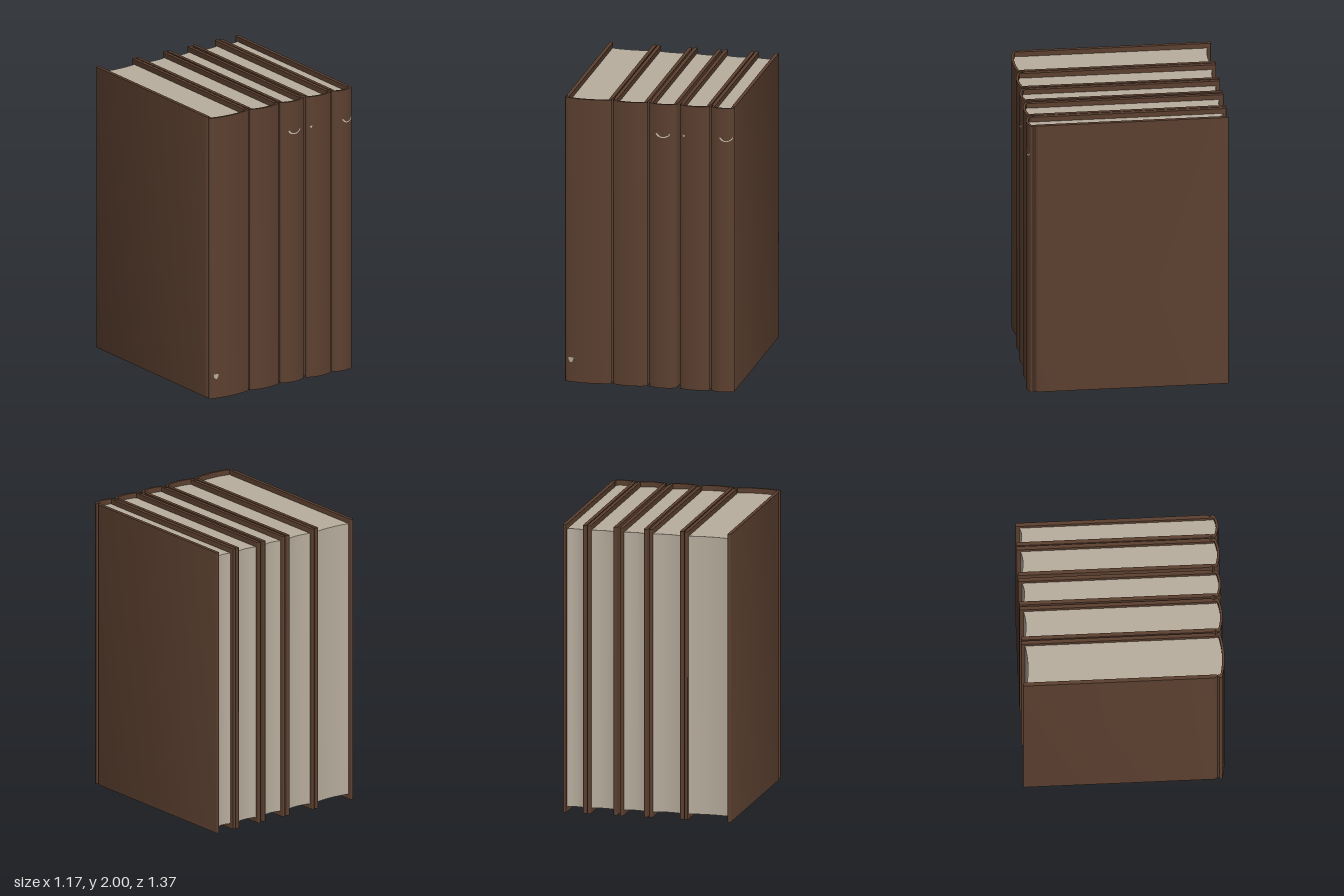
import * as THREE from 'three';
import { toCreasedNormals } from 'three/addons/utils/BufferGeometryUtils.js';

const HEIGHT = 2, BOARD = 0.025, INSET = 0.035;
const BACK = -0.686, FRONT = 0.684, BULGE = 0.022;

// Rounded spine: z of the outer face at x, for a book of half width h
const spineZ = (x, h) => FRONT - BULGE * (x / (h - 0.006)) ** 2;

// Extrudes a plan outline given as [x, z] points upwards from y0 to y1
function extrudePlan(points, y0, y1) {
  const shape = new THREE.Shape(points.map(([x, z]) => new THREE.Vector2(x, -z)));
  const geo = new THREE.ExtrudeGeometry(shape, { depth: y1 - y0, bevelEnabled: false });
  geo.rotateX(-Math.PI / 2).translate(0, y0, 0);
  return toCreasedNormals(geo, 0.7);
}

const mirror = (points) => points.map(([x, z]) => [-x, z]).reverse();

// Samples a curve z = f(x) from x = a to x = b
function sample(a, b, n, f) {
  return Array.from({ length: n + 1 }, (_, i) => {
    const x = a + ((b - a) * i) / n;
    return [x, f(x)];
  });
}

// Case in one piece: two boards with rounded edges, hinge grooves and the spine
function coverGeometry(h) {
  const r = BOARD / 2;
  const edge = Array.from({ length: 9 }, (_, i) => {
    const a = (Math.PI * i) / 8;
    return [h - r - r * Math.cos(a), BACK + r - r * Math.sin(a)];
  });
  const outerHinge = [[h, 0.607], [h - 0.003, 0.618], [h - 0.01, 0.625], [h - 0.012, 0.631],
    [h - 0.008, 0.638], [h - 0.001, 0.644], [h, 0.652], [h - 0.003, 0.659]];
  const innerHinge = [[h - 0.022, 0.652], [h - 0.024, 0.64], [h - 0.022, 0.63], [h - BOARD, 0.615]];
  const outerSpine = sample(h - 0.006, -(h - 0.006), 16, (x) => spineZ(x, h));
  const innerSpine = sample(-(h - 0.026), h - 0.026, 16, (x) => spineZ(x, h) - 0.017);
  const side = [...edge, ...outerHinge];
  return extrudePlan([
    ...side, ...outerSpine, ...mirror(side),
    ...mirror(innerHinge), ...innerSpine, ...innerHinge,
  ], 0, HEIGHT);
}

// Page block: hollow fore-edge at the back, rounded against the spine
function pagesGeometry(h) {
  const w = h - BOARD + 0.002;
  const fore = sample(-w, w, 16, (x) => -0.646 - 0.014 * (x / w) ** 2);
  const round = sample(w, -w, 16, (x) => spineZ(x, h) - 0.0165);
  return extrudePlan([...fore, ...round], INSET, HEIGHT - INSET);
}

// Thin worn patch with a flat top, bent onto the spine
function patchGeometry(x, y, w, ht, h) {
  const shape = new THREE.Shape();
  shape.moveTo(x - w / 2, y + ht / 2);
  for (let i = 0; i <= 12; i++) {
    const a = Math.PI + (Math.PI * i) / 12;
    shape.lineTo(x + (w / 2) * Math.cos(a), y + ht / 2 + ht * Math.sin(a));
  }
  const geo = new THREE.ShapeGeometry(shape);
  const p = geo.attributes.position;
  for (let i = 0; i < p.count; i++) p.setZ(i, spineZ(p.getX(i), h) + 0.002);
  geo.computeVertexNormals();
  return geo;
}

export function createModel() {
  const leather = new THREE.MeshStandardMaterial({ color: 0x5c4030 });
  leather.name = 'brown leather';
  const paper = new THREE.MeshStandardMaterial({ color: 0xb9ae9f });
  paper.name = 'aged paper';

  // Left and right edge of each book, and worn patches [x, y, width, height]
  const books = [
    { x0: -0.587, x1: -0.262, patches: [[-0.543, 0.155, 0.036, 0.034]] },
    { x0: -0.255, x1: -0.014, patches: [] },
    { x0: -0.003, x1: 0.19, patches: [[0.097, 1.78, 0.1, 0.03]] },
    { x0: 0.209, x1: 0.418, patches: [[0.24, 1.785, 0.016, 0.016]] },
    { x0: 0.424, x1: 0.587, patches: [[0.535, 1.78, 0.09, 0.03]] },
  ];

  const model = new THREE.Group();
  model.name = 'bookRow';
  books.forEach(({ x0, x1, patches }, i) => {
    const h = (x1 - x0) / 2, cx = (x0 + x1) / 2;
    const book = new THREE.Group();
    book.name = `book${i + 1}`;
    book.position.x = cx;
    const add = (name, geo, mat) => {
      const mesh = new THREE.Mesh(geo, mat);
      mesh.name = name;
      book.add(mesh);
    };
    add('cover', coverGeometry(h), leather);
    add('pages', pagesGeometry(h), paper);
    patches.forEach(([x, y, w, ht]) => add('wornPatch', patchGeometry(x - cx, y, w, ht, h), paper));
    model.add(book);
  });
  return model;
}
